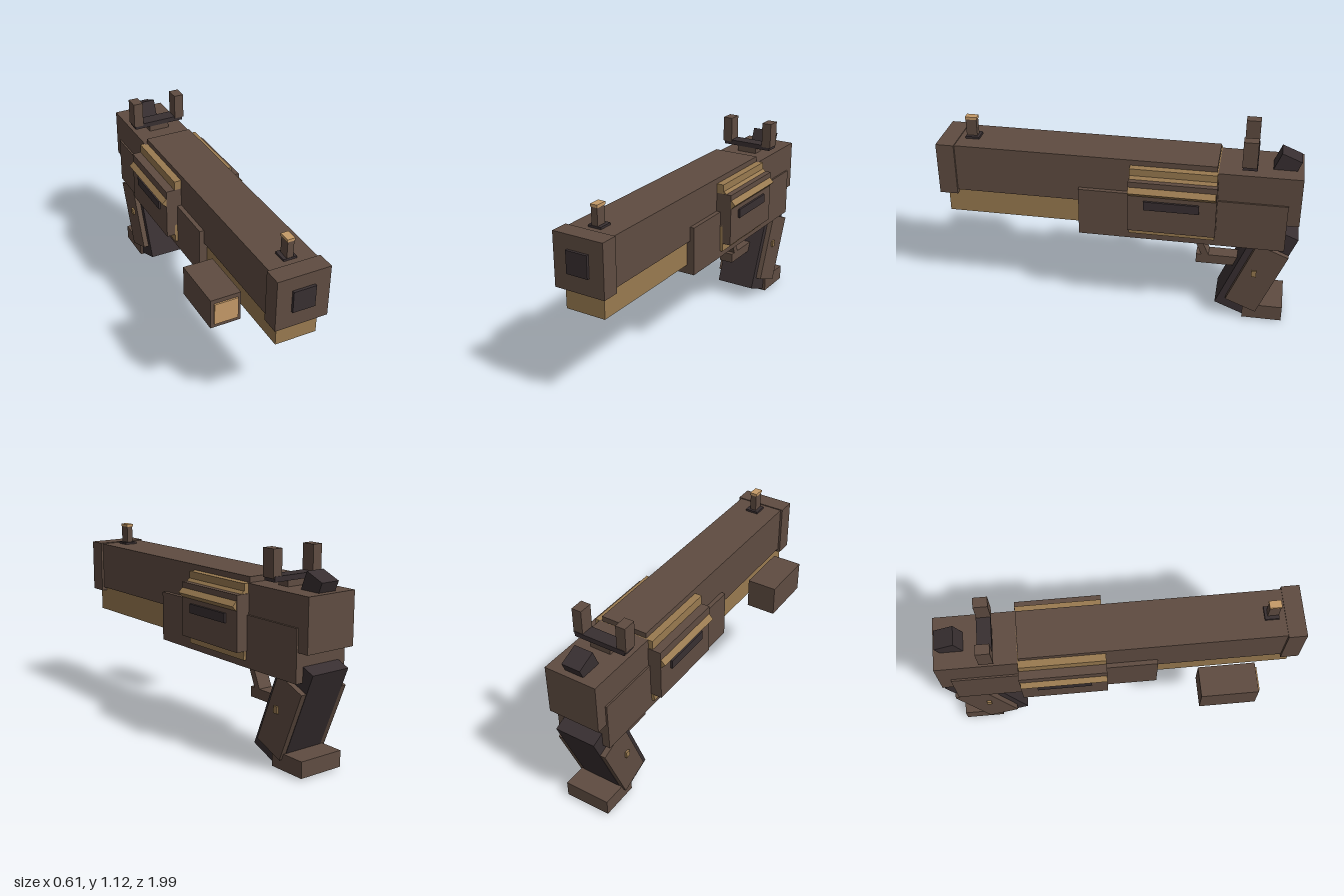
import * as THREE from 'three';

const material = (name, color) => {
  const m = new THREE.MeshStandardMaterial({ color });
  m.name = name;
  return m;
};

export function createModel() {
  const brown = material('brown', 0x5f4c41);
  const dark = material('charcoal', 0x382f31);
  const tan = material('tan', 0x997a50);
  const lightTan = material('light tan', 0xc59a68);

  const model = new THREE.Group();
  model.name = 'blockPistol';
  const MID = 0.052; // x of the gun's centre plane
  const RAKE = -0.386; // backward tilt of grip and hammer

  // Box from its limits on each axis
  const block = (name, mat, [x0, x1], [y0, y1], [z0, z1]) => {
    const mesh = new THREE.Mesh(new THREE.BoxGeometry(x1 - x0, y1 - y0, z1 - z0), mat);
    mesh.position.set((x0 + x1) / 2, (y0 + y1) / 2, (z0 + z1) / 2);
    mesh.name = name;
    model.add(mesh);
    return mesh;
  };
  // Box centred on the gun's middle plane
  const centred = (name, mat, width, y, z) =>
    block(name, mat, [MID - width / 2, MID + width / 2], y, z);
  // Centred box tilted about x
  const tilted = (name, mat, [w, h, d], y, z, angle) => {
    const mesh = centred(name, mat, w, [y - h / 2, y + h / 2], [z - d / 2, z + d / 2]);
    mesh.rotation.x = angle;
    return mesh;
  };

  // Slide and barrel
  centred('slide', brown, 0.27, [0.69, 0.96], [-0.54, 0.9]);
  centred('muzzleBlock', brown, 0.295, [0.67, 0.965], [0.885, 0.985]);
  centred('muzzleBore', dark, 0.125, [0.765, 0.888], [0.95, 1.0]);
  centred('underBarrel', tan, 0.232, [0.545, 0.692], [0.15, 0.945]);

  // Frame
  centred('frame', brown, 0.32, [0.495, 0.77], [-0.92, 0.2]);
  centred('rearReceiver', brown, 0.3, [0.65, 0.93], [-0.985, -0.53]);

  // Side housings
  centred('innerHousing', tan, 0.352, [0.535, 0.93], [-0.545, -0.08]);
  centred('outerHousing', brown, 0.45, [0.583, 0.878], [-0.55, -0.08]);
  centred('sideSlot', dark, 0.473, [0.722, 0.772], [-0.46, -0.165]);
  for (const [side, y] of [[1, 0.822], [-1, 0.806]]) {
    const x = MID + side * 0.1795;
    const rail = block('sideRail', tan, [x - 0.05, x + 0.05], [y - 0.05, y + 0.05], [-0.545, -0.082]);
    rail.rotation.z = Math.PI / 4;
  }

  // Front sight
  centred('frontSightBase', dark, 0.075, [0.95, 0.972], [0.773, 0.85]);
  centred('frontSightPost', brown, 0.036, [0.96, 1.068], [0.788, 0.848]);
  centred('frontSightTip', lightTan, 0.042, [1.066, 1.081], [0.785, 0.85]);

  // Rear sight
  centred('rearSightPedestal', brown, 0.12, [0.92, 0.965], [-0.74, -0.67]);
  centred('rearSightBase', dark, 0.3, [0.962, 0.99], [-0.745, -0.668]);
  for (const side of [-1, 1]) {
    const x = MID + side * 0.13;
    block('rearSightPost', brown, [x - 0.028, x + 0.028], [0.98, 1.125], [-0.742, -0.665]);
  }

  // Hammer
  tilted('hammer', dark, [0.108, 0.15, 0.115], 0.934, -0.889, RAKE);

  // Grip
  tilted('gripCore', dark, [0.234, 0.583, 0.223], 0.318, -0.778, RAKE);
  tilted('gripPanels', brown, [0.295, 0.405, 0.184], 0.291, -0.786, RAKE);
  centred('gripPin', tan, 0.317, [0.31, 0.347], [-0.784, -0.757]);
  centred('gripFoot', brown, 0.264, [0.015, 0.103], [-0.942, -0.722]);

  // Trigger guard
  centred('triggerGuardBar', brown, 0.083, [0.295, 0.35], [-0.72, -0.442]);
  tilted('triggerGuardStrut', brown, [0.083, 0.24, 0.036], 0.418, -0.461, 0.42);

  // Side lamp
  block('lampBody', brown, [-0.308, -0.14], [0.573, 0.745], [0.415, 0.725]);
  block('lampLens', lightTan, [-0.29, -0.158], [0.598, 0.722], [0.726, 0.735]);

  return model;
}
